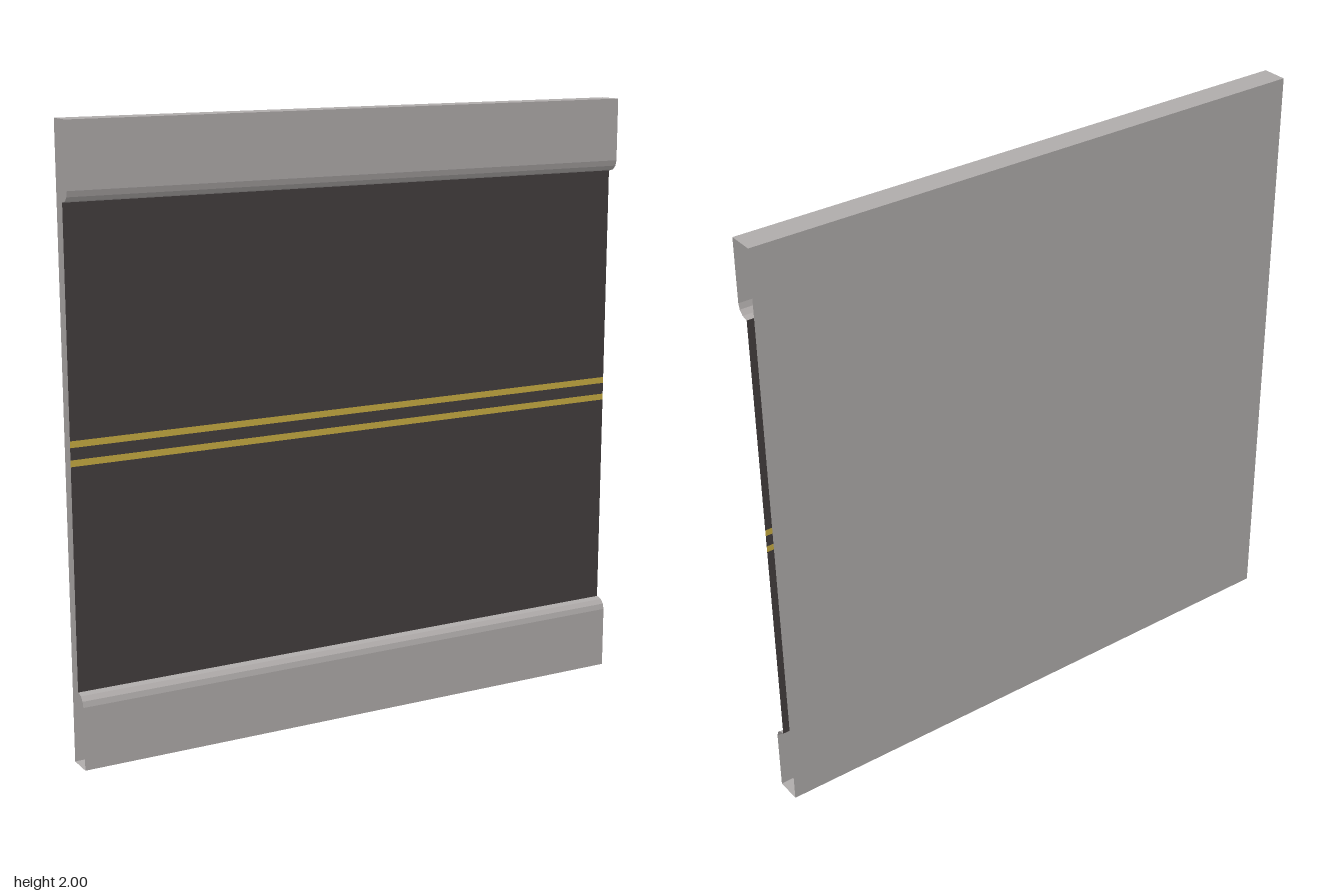
import * as THREE from 'three';

const HALF = 0.987;    // half length along x
const FRONT = 0.0425;  // pavement surface
const BACK = -0.0425;
const ROAD = 0.002;    // sunken road surface
const R = 0.037;       // kerb rounding
const KERB = 0.243;    // kerb height from the outer edge

// Sweep an open [y, z] profile straight along x, one flat quad per step
function ribbon(name, profile, material) {
  const pos = [];
  for (let i = 0; i < profile.length - 1; i++) {
    const [y0, z0] = profile[i];
    const [y1, z1] = profile[i + 1];
    const a = [-HALF, y0, z0], b = [-HALF, y1, z1];
    const c = [HALF, y1, z1], d = [HALF, y0, z0];
    pos.push(...a, ...b, ...c, ...a, ...c, ...d);
  }
  const geo = new THREE.BufferGeometry();
  geo.setAttribute('position', new THREE.Float32BufferAttribute(pos, 3));
  geo.computeVertexNormals();
  const mesh = new THREE.Mesh(geo, material);
  mesh.name = name;
  return mesh;
}

function paint(name, color) {
  const m = new THREE.MeshStandardMaterial({ color, side: THREE.DoubleSide });
  m.name = name;
  return m;
}

export function createModel() {
  const group = new THREE.Group();
  group.name = 'roadSection';
  const concrete = paint('concrete', 0xafabaa);
  const asphalt = paint('asphalt', 0x443f3e);
  const yellow = paint('yellowPaint', 0xc9ad42);

  // Pavement: outer edge, flat top, rounded kerb, drop to the road
  const lower = [[KERB, ROAD]];
  for (let i = 0; i <= 3; i++) {
    const t = (i / 3) * Math.PI / 2;
    lower.push([KERB - R + R * Math.cos(t), FRONT - R + R * Math.sin(t)]);
  }
  lower.push([0, FRONT], [0, BACK]);
  const upper = lower.map(([y, z]) => [2 - y, z]).reverse();
  group.add(ribbon('lowerPavement', lower, concrete));
  group.add(ribbon('upperPavement', upper, concrete));

  // Flat back, ends left open
  group.add(ribbon('backPanel', [[0, BACK], [2, BACK]], concrete));

  // Road lanes with the two centre lines set between them
  const edges = [2 - KERB, 1.04, 1.019, 0.981, 0.96, KERB];
  const names = ['upperLane', 'upperCentreLine', 'centreGap', 'lowerCentreLine', 'lowerLane'];
  names.forEach((name, i) => {
    group.add(ribbon(name, [[edges[i], ROAD], [edges[i + 1], ROAD]], i % 2 ? yellow : asphalt));
  });

  return group;
}
